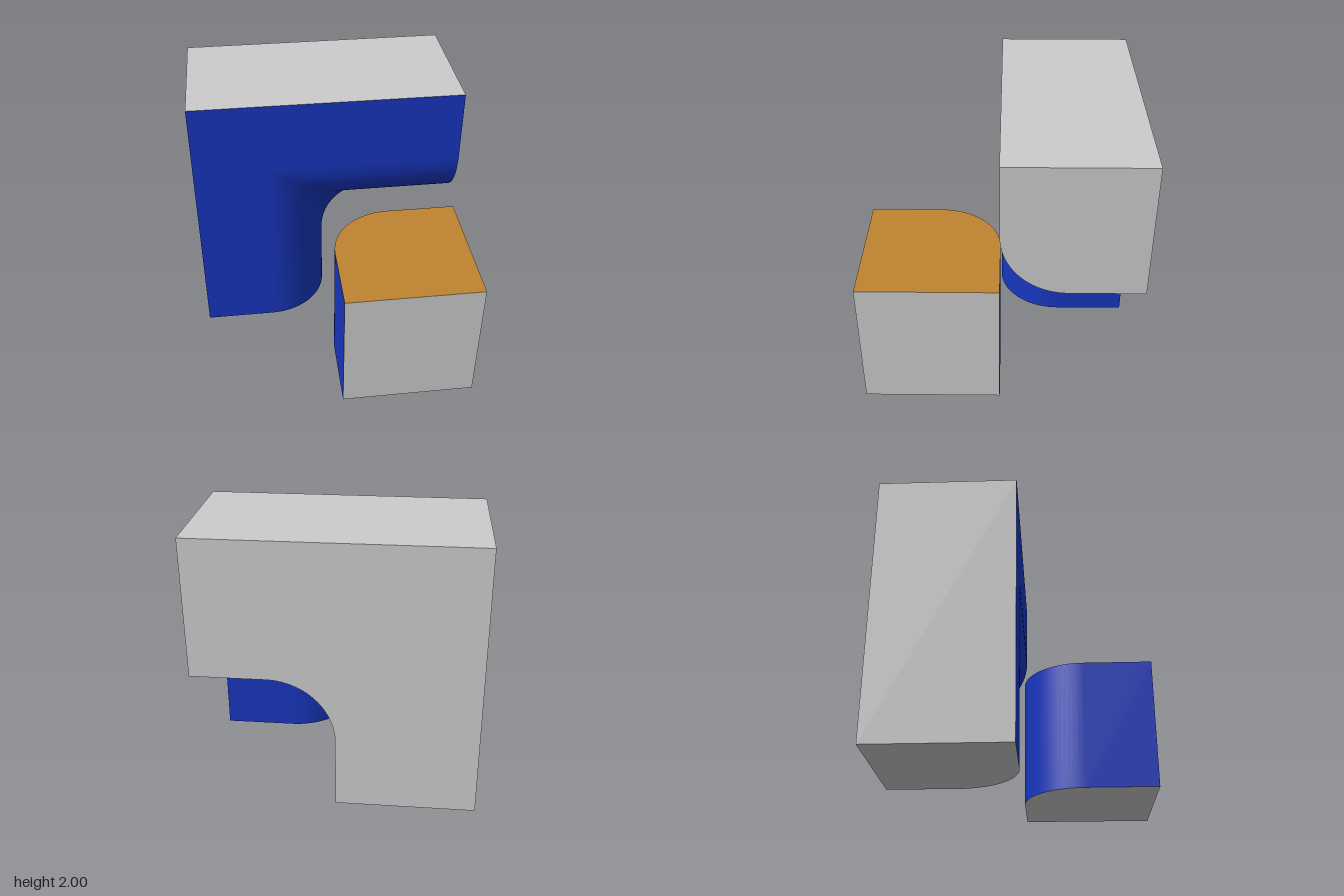
import * as THREE from 'three';

const R = 0.47; // radius of every rounded edge
const N = 20; // steps per quarter turn
const GREY = 0xcccccc, BLUE = 0x1836bf, OCHRE = 0xbf832f;

function mesh(name, positions, index, color) {
  const g = new THREE.BufferGeometry();
  g.setAttribute('position', new THREE.Float32BufferAttribute(positions, 3));
  g.setIndex(index);
  g.computeVertexNormals();
  const m = new THREE.Mesh(g, new THREE.MeshStandardMaterial({ color }));
  m.name = name;
  return m;
}

// Smooth surface through rows of equally many points
function skin(name, rows, color) {
  const n = rows[0].length, index = [];
  for (let j = 0; j < rows.length - 1; j++) {
    for (let i = 0; i < n - 1; i++) {
      const a = j * n + i, b = a + n;
      index.push(a, b, a + 1, a + 1, b, b + 1);
    }
  }
  return mesh(name, rows.flat(2), index, color);
}

// Flat face on a plane across one axis (0 x, 1 y, 2 z), looking towards sign
function face(name, outline, axis, at, sign, color) {
  const pts = outline.map(([u, v]) => new THREE.Vector2(u, v));
  if (THREE.ShapeUtils.isClockWise(pts)) pts.reverse();
  const tris = THREE.ShapeUtils.triangulateShape(pts, []);
  // outlines are (z, y), (x, z) or (x, y): only the last is right-handed
  const flip = (axis === 2 ? 1 : -1) * sign < 0;
  const index = tris.flatMap(([a, b, c]) => (flip ? [a, c, b] : [a, b, c]));
  const positions = pts.flatMap(({ x: u, y: v }) =>
    axis === 0 ? [at, v, u] : axis === 1 ? [u, at, v] : [u, v, at]);
  return mesh(name, positions, index, color);
}

// Points of a quarter arc
function arc(cx, cy, r, from, to) {
  return Array.from({ length: N + 1 }, (_, i) => {
    const a = from + (to - from) * i / N;
    return [cx + r * Math.cos(a), cy + r * Math.sin(a)];
  });
}

export function createModel() {
  const model = new THREE.Group();
  const H = Math.PI / 2;

  // Inner edge of the arch, inset by d, with corner radius r
  const innerEdge = (d, r) => [
    [-d, 0], ...arc(r - d, 1 + d - r, r, Math.PI, H), [1, 1 + d],
  ];
  const archFace = (d, r) => [...innerEdge(d, r), [1, 2], [-1, 2], [-1, 0]];

  // Arch: rounded inner surface, its corner radius growing towards the back
  const arch = new THREE.Group();
  arch.name = 'arch';
  const rows = [];
  for (let j = 0; j <= N; j++) {
    const t = H * j / N, depth = R * (1 - Math.cos(t));
    rows.push(innerEdge(R * (1 - Math.sin(t)), depth).map(([x, y]) => [x, y, -depth]));
  }
  rows.push(innerEdge(0, R).map(([x, y]) => [x, y, -1]));
  const frontOutline = [[-1, 0], [-R, 0], [-R, 1 + R], [1, 1 + R], [1, 2], [-1, 2]];
  const barEnd = [[0, 2], ...arc(-R, 1 + R, R, 0, -H), [-1, 1], [-1, 2]];
  const columnFoot = [[-1, 0], ...arc(-R, -R, R, H, 0), [0, -1], [-1, -1]];
  arch.add(
    skin('archInnerSurface', rows, BLUE),
    face('archFront', frontOutline, 2, 0, 1, BLUE),
    face('archBack', archFace(0, R), 2, -1, -1, GREY),
    face('archBarEnd', barEnd, 0, 1, 1, GREY),
    face('archOuterSide', [[-1, 0], [0, 0], [0, 2], [-1, 2]], 0, -1, -1, GREY),
    face('archTop', [[-1, -1], [1, -1], [1, 0], [-1, 0]], 1, 2, 1, GREY),
    face('archFoot', columnFoot, 1, 0, -1, GREY),
  );

  // Block: a cube with one upright edge rounded
  const block = new THREE.Group();
  block.name = 'block';
  const wall = [[0, 1], ...arc(R, R, R, Math.PI, Math.PI + H), [1, 0]];
  const plan = [...wall, [1, 1]];
  const square = [[0, 0], [1, 0], [1, 1], [0, 1]];
  block.add(
    skin('blockRoundedWall', [0, 1].map((y) => wall.map(([x, z]) => [x, y, z])), BLUE),
    face('blockTop', plan, 1, 1, 1, OCHRE),
    face('blockBottom', plan, 1, 0, -1, GREY),
    face('blockFront', square, 2, 1, 1, GREY),
    face('blockSide', square, 0, 1, 1, GREY),
  );

  model.add(arch, block);
  return model;
}
